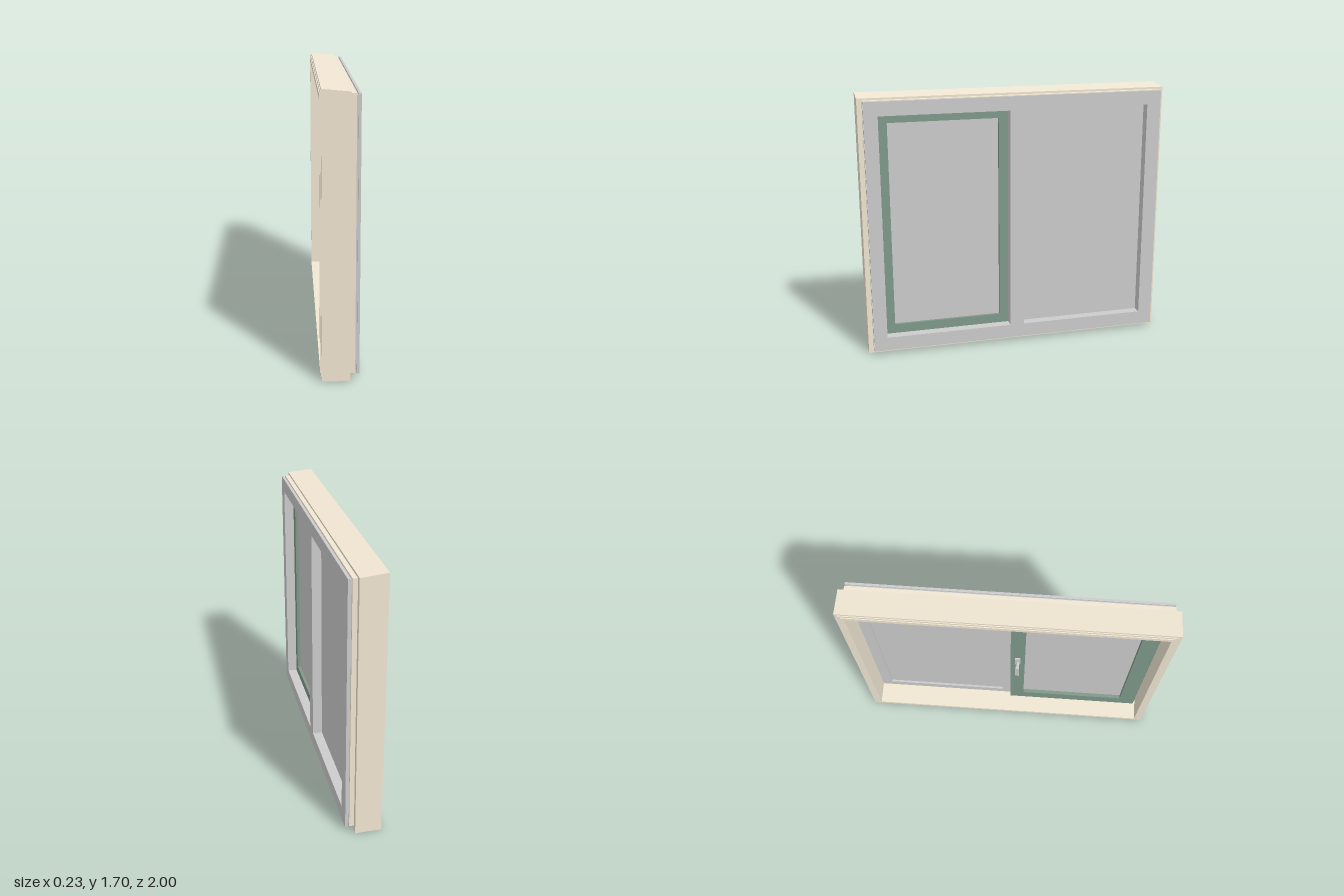
import * as THREE from 'three';

const beige = new THREE.MeshStandardMaterial({ color: 0xf0e6d2 });
const green = new THREE.MeshStandardMaterial({ color: 0x80998b });
const grey = new THREE.MeshStandardMaterial({ color: 0xcccccc });

// Rectangles are [z0, z1, y0, y1]
function trace(path, [z0, z1, y0, y1]) {
  path.moveTo(-z1, y0);
  path.lineTo(-z0, y0);
  path.lineTo(-z0, y1);
  path.lineTo(-z1, y1);
  path.closePath();
  return path;
}

// Rectangular frame running from x0 to x1, with rectangular openings
function frame(name, x0, x1, outer, holes, material) {
  const shape = trace(new THREE.Shape(), outer);
  for (const hole of holes) shape.holes.push(trace(new THREE.Path(), hole));
  const geometry = new THREE.ExtrudeGeometry(shape, { depth: x1 - x0, bevelEnabled: false });
  geometry.rotateY(Math.PI / 2).translate(x0, 0, 0);
  const mesh = new THREE.Mesh(geometry, material);
  mesh.name = name;
  return mesh;
}

function box(name, x0, x1, [z0, z1, y0, y1], material) {
  const mesh = new THREE.Mesh(new THREE.BoxGeometry(x1 - x0, y1 - y0, z1 - z0), material);
  mesh.position.set((x0 + x1) / 2, (y0 + y1) / 2, (z0 + z1) / 2);
  mesh.name = name;
  return mesh;
}

export function createModel() {
  const group = new THREE.Group();
  group.name = 'slidingWindow';
  const reveal = [-0.945, 0.945, 0.06, 1.64];

  // Deep outer casing, its top sloping down towards the outside
  const casing = frame('casing', -0.105, 0.06, [-1, 1, 0, 1.7], [reveal], beige);
  const p = casing.geometry.attributes.position;
  for (let i = 0; i < p.count; i++) {
    if (p.getY(i) > 1.69 && p.getX(i) > 0) p.setY(i, 1.685);
  }
  casing.geometry.computeVertexNormals();
  group.add(casing);

  // Stepped rims on the room side and the outer side
  group.add(
    frame('innerRim', -0.11, -0.105, [-0.98, 0.98, 0.02, 1.685], [reveal], beige),
    frame('innerLip', -0.115, -0.11, [-0.965, 0.965, 0.037, 1.67], [reveal], beige),
    frame('outerRim', 0.06, 0.09, [-0.968, 0.968, 0.034, 1.672], [reveal], beige),
    frame('gasket', 0.09, 0.1, [-0.955, 0.955, 0.05, 1.66], [reveal], grey)
  );

  // Grey window frame: two openings with a mullion between, and a cover plate
  const openings = [[0.05, 0.88, 0.12, 1.58], [-0.875, -0.043, 0.12, 1.58]];
  group.add(
    frame('windowFrame', 0.03, 0.1, reveal, openings, grey),
    frame('coverPlate', 0.1, 0.115, [-0.967, 0.967, 0.03, 1.67], openings, grey),
    box('fixedPane', 0.044, 0.052, openings[1], grey)
  );

  // Opening sash: an overlapping room-side part and a part within the opening
  const light = [0.11, 0.82, 0.18, 1.525];
  group.add(
    frame('sash', -0.005, 0.03, [0.015, 0.93, 0.08, 1.62], [light], green),
    frame('sashInsert', 0.03, 0.05, openings[0], [light], green),
    box('sashPane', 0.02, 0.03, light, grey)
  );

  // Handle on the sash stile
  const handle = new THREE.Group();
  handle.name = 'handle';
  handle.add(box('rosette', -0.015, -0.005, [0.045, 0.08, 0.8, 0.9], grey));
  const spindle = new THREE.Mesh(new THREE.CylinderGeometry(0.011, 0.011, 0.05, 16), grey);
  spindle.name = 'spindle';
  spindle.rotation.z = Math.PI / 2;
  spindle.position.set(-0.038, 0.85, 0.0625);
  handle.add(spindle, box('lever', -0.07, -0.053, [0.05, 0.075, 0.73, 0.865], grey));
  group.add(handle);

  return group;
}
